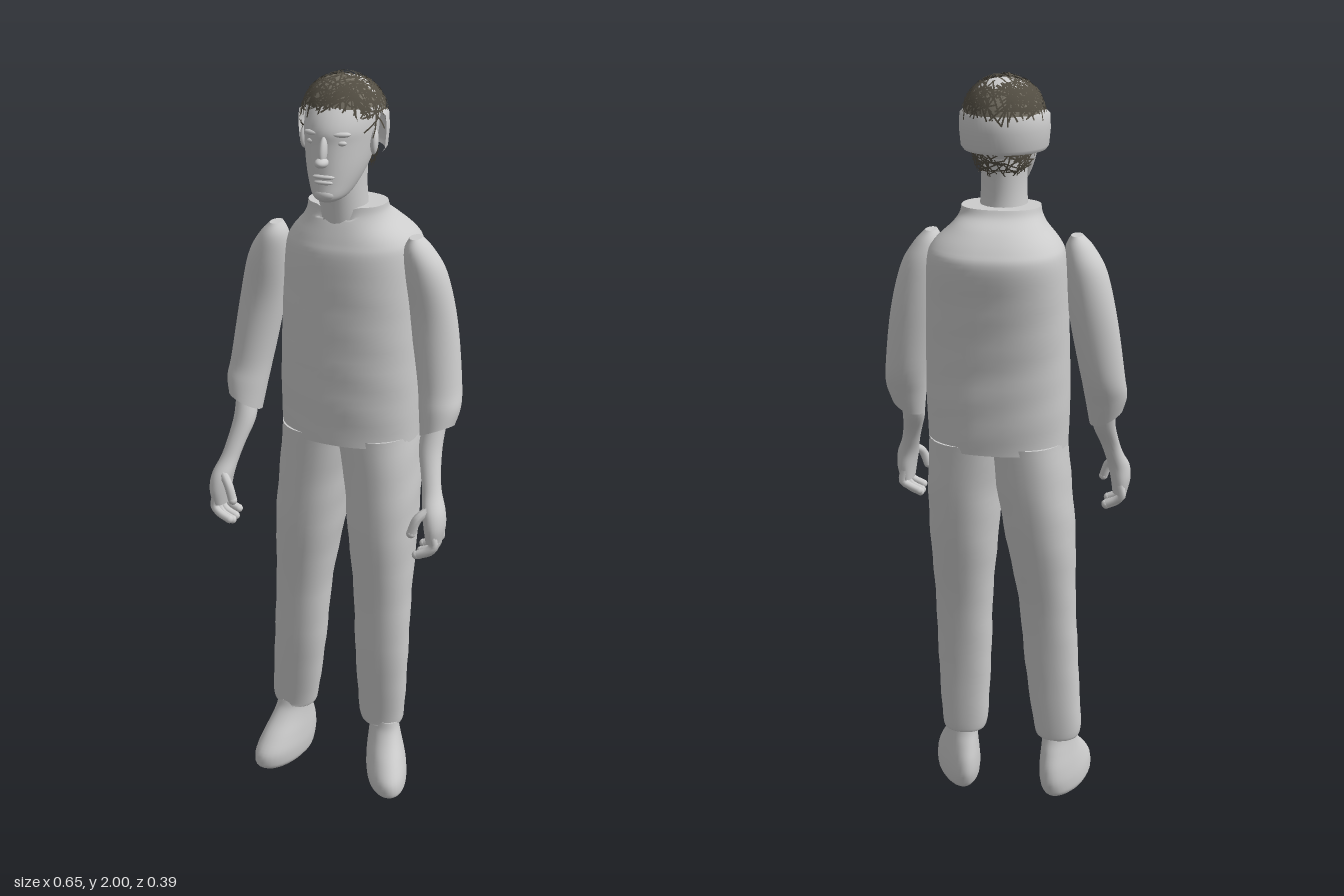
import * as THREE from 'three';

const mat = (name, color) => {
  const m = new THREE.MeshStandardMaterial({ color, side: THREE.DoubleSide });
  m.name = name;
  return m;
};

// Smooth body built from rings; each section is [y, xMin, xMax, zBack, zFront]
function loft(sections, { sides = 32, steps = 5, power = 2, warp = null } = {}) {
  const rows = [];
  const last = sections.length - 1;
  const at = i => sections[Math.max(0, Math.min(last, i))];
  for (let k = 0; k <= last * steps; k++) {
    const i = Math.min(last - 1, Math.floor(k / steps)), t = k / steps - i;
    rows.push(at(i).map((b, c) => {
      const a = at(i - 1)[c], d = at(i + 1)[c], e = at(i + 2)[c];
      return b + 0.5 * t * (d - a + t * (2 * a - 5 * b + 4 * d - e + t * (3 * (b - d) + e - a)));
    }));
  }
  const pos = [], idx = [];
  const bend = v => Math.sign(v) * Math.abs(v) ** (2 / power);
  const addRing = ([y, x0, x1, z0, z1]) => {
    for (let j = 0; j < sides; j++) {
      const a = j / sides * Math.PI * 2;
      const p = new THREE.Vector3((x0 + x1) / 2 + (x1 - x0) / 2 * bend(Math.cos(a)), y,
        (z0 + z1) / 2 + (z1 - z0) / 2 * bend(Math.sin(a)));
      if (warp) warp(p);
      pos.push(p.x, p.y, p.z);
    }
  };
  rows.forEach(addRing);
  for (let i = 0; i < rows.length - 1; i++) for (let j = 0; j < sides; j++) {
    const a = i * sides + j, b = i * sides + (j + 1) % sides;
    idx.push(a, a + sides, b, b, a + sides, b + sides);
  }
  // End caps on separate vertices keep the rims sharp
  [rows[0], rows[rows.length - 1]].forEach((r, top) => {
    const base = pos.length / 3;
    addRing(r);
    const c = new THREE.Vector3((r[1] + r[2]) / 2, r[0], (r[3] + r[4]) / 2);
    if (warp) warp(c);
    pos.push(c.x, c.y, c.z);
    for (let j = 0; j < sides; j++) {
      const n = base + (j + 1) % sides;
      if (top) idx.push(base + sides, n, base + j);
      else idx.push(base + sides, base + j, n);
    }
  });
  return finish(pos, idx);
}

function finish(pos, idx) {
  const g = new THREE.BufferGeometry();
  g.setAttribute('position', new THREE.Float32BufferAttribute(pos, 3));
  g.setIndex(idx);
  g.computeVertexNormals();
  return g;
}

// Loose criss-crossing ribbons lying on an ellipsoid
function strands(count, centre, radii, accept, seed) {
  const rnd = () => (seed = (seed * 16807) % 2147483647) / 2147483647;
  const pos = [], idx = [];
  const dir = () => new THREE.Vector3(rnd() - 0.5, rnd() - 0.5, rnd() - 0.5).normalize();
  for (let n = 0, tries = 0; n < count && tries < 40000; tries++) {
    const d = dir(), mid = d.clone().multiply(radii).add(centre);
    if (!accept(mid, rnd())) continue;
    const along = dir().cross(d).normalize(), across = along.clone().cross(d);
    const length = 0.2 + rnd() * 0.25, lift = 0.98 + rnd() * 0.06, base = pos.length / 3;
    for (let s = -2; s <= 2; s++) for (const w of [-0.02, 0.02]) {
      const p = d.clone().addScaledVector(along, s / 2 * length)
        .addScaledVector(across, w).normalize().multiplyScalar(lift).multiply(radii).add(centre);
      pos.push(p.x, Math.min(p.y, 2), p.z);
    }
    for (let s = 0; s < 4; s++) {
      const a = base + s * 2;
      idx.push(a, a + 1, a + 2, a + 1, a + 3, a + 2);
    }
    n++;
  }
  return finish(pos, idx);
}

export function createModel() {
  const model = new THREE.Group();
  const grey = mat('body grey', 0xcccccc);
  const hair = mat('hair dark', 0x524d42);
  const cap = mat('hair base', 0x746f63);

  const add = (name, geo, m = grey, parent = model) => {
    const mesh = new THREE.Mesh(geo, m);
    mesh.name = name;
    parent.add(mesh);
    return mesh;
  };
  const blob = (name, p, r, parent) => {
    const mesh = add(name, new THREE.SphereGeometry(1, 20, 14), grey, parent);
    mesh.position.set(...p);
    mesh.scale.set(...r);
    return mesh;
  };

  // Sweater with faint folds and a dipped neckline
  add('sweater', loft([
    [1.068, -0.174, 0.19, -0.155, 0.112], [1.18, -0.177, 0.194, -0.16, 0.114],
    [1.3, -0.175, 0.193, -0.163, 0.112], [1.45, -0.17, 0.188, -0.178, 0.108],
    [1.56, -0.164, 0.181, -0.194, 0.104], [1.6, -0.15, 0.166, -0.178, 0.094],
    [1.64, -0.115, 0.124, -0.14, 0.08], [1.665, -0.1, 0.106, -0.1, 0.07],
    [1.685, -0.096, 0.102, -0.086, 0.066],
  ], {
    sides: 48, power: 2.35, warp: p => {
      if (p.y > 1.66 && p.z > 0) p.y -= 0.035 * Math.max(0, 1 - Math.abs(p.x) / 0.05);
      if (p.y < 1.5) p.z += 0.001 * Math.sin(p.y * 60 + p.x * 14);
    },
  }));

  // Trousers
  const depths = [[-0.045, 0.045], [-0.05, 0.046], [-0.056, 0.065], [-0.076, 0.076],
    [-0.116, 0.096], [-0.138, 0.1], [-0.148, 0.103]];
  const heights = [0.17, 0.2, 0.4, 0.6, 0.8, 0.95, 1.085];
  const leg = xs => loft(xs.map((x, i) => [heights[i], ...x, ...depths[i]]), {
    power: 2.25, warp: p => { p.x += 0.001 * Math.sin(p.y * 50 + p.z * 20); },
  });
  add('leftTrouserLeg', leg([[0.06, 0.162], [0.046, 0.174], [0.036, 0.184], [0.03, 0.188],
    [0.012, 0.196], [0, 0.196], [-0.025, 0.188]]));
  add('rightTrouserLeg', leg([[-0.205, -0.105], [-0.222, -0.09], [-0.21, -0.062], [-0.2, -0.044],
    [-0.196, -0.01], [-0.184, 0.012], [-0.172, 0.035]]));

  // Shoes, toes turned out and heels narrower
  for (const [name, ankle, side, turn] of [['leftShoe', 0.118, 1, 0.32], ['rightShoe', -0.158, -1, 0.22]]) {
    add(name, loft([
      [0, -0.053, 0.053, -0.065, 0.136], [0.015, -0.06, 0.06, -0.076, 0.148],
      [0.05, -0.061, 0.061, -0.085, 0.146], [0.09, -0.056, 0.056, -0.08, 0.115],
      [0.13, -0.049, 0.049, -0.064, 0.075], [0.16, -0.045, 0.045, -0.05, 0.052],
      [0.185, -0.044, 0.044, -0.042, 0.044],
    ], {
      power: 2.1, warp: p => {
        p.x = ankle + p.x * (p.z < 0 ? 1 + p.z * 1.8 : 1) + side * (p.z * turn + 0.012 * (1 - p.y / 0.185));
      },
    }));
  }

  // Arms, modelled on the left and mirrored
  for (const side of [1, -1]) {
    const arm = new THREE.Group();
    arm.name = side > 0 ? 'leftArm' : 'rightArm';
    arm.scale.x = side;
    model.add(arm);
    add('sleeve', loft([
      [1.125, 0.222, 0.31, 0.002, 0.09], [1.18, 0.213, 0.32, -0.02, 0.08],
      [1.25, 0.2, 0.314, -0.045, 0.063], [1.4, 0.172, 0.293, -0.06, 0.046],
      [1.52, 0.156, 0.264, -0.058, 0.052], [1.58, 0.156, 0.23, -0.042, 0.048],
      [1.612, 0.17, 0.2, -0.02, 0.03],
    ], {
      warp: p => {
        const k = Math.max(0, 1 - (p.y - 1.125) / 0.1);
        p.y += k * ((p.x - 0.263) * 0.45 + (p.z - 0.046) * 0.25);
      },
    }), grey, arm);
    add('forearm', loft([
      [0.87, 0.278, 0.318, 0.11, 0.184], [0.91, 0.272, 0.326, 0.106, 0.189],
      [0.95, 0.264, 0.322, 0.105, 0.178], [0.99, 0.256, 0.306, 0.095, 0.148],
      [1.03, 0.245, 0.296, 0.078, 0.127], [1.09, 0.228, 0.288, 0.04, 0.1],
      [1.15, 0.232, 0.29, 0.015, 0.075],
    ], { sides: 24 }), grey, arm);
    const finger = (name, pts, r) => {
      const curve = new THREE.CatmullRomCurve3(pts.map(p => new THREE.Vector3(...p)));
      add(name, new THREE.TubeGeometry(curve, 10, r, 8), grey, arm);
      blob(name + 'Tip', pts[pts.length - 1], [r, r, r], arm);
    };
    [0.117, 0.137, 0.157, 0.176].forEach((z, i) => {
      const low = [0.838, 0.826, 0.824, 0.834][i];
      finger('finger', [[0.3, 0.9, z], [0.306, 0.865, z], [0.292, low + 0.015, z + 0.003],
        [0.262, low, z + 0.004]], 0.0112);
    });
    finger('thumb', [[0.284, 0.955, 0.16], [0.262, 0.935, 0.178], [0.248, 0.895, 0.184]], 0.012);
  }

  // Neck and head
  add('neck', loft([
    [1.62, -0.066, 0.066, -0.065, 0.075], [1.69, -0.058, 0.06, -0.052, 0.083],
    [1.75, -0.056, 0.058, -0.052, 0.09], [1.82, -0.06, 0.06, -0.06, 0.09],
  ]));
  add('head', loft([
    [1.716, -0.022, 0.022, 0.09, 0.14], [1.728, -0.042, 0.042, 0.04, 0.152],
    [1.76, -0.06, 0.06, -0.01, 0.15], [1.8, -0.074, 0.074, -0.055, 0.147],
    [1.85, -0.083, 0.083, -0.083, 0.142], [1.88, -0.086, 0.086, -0.09, 0.14],
    [1.91, -0.086, 0.086, -0.09, 0.125], [1.94, -0.081, 0.081, -0.081, 0.1],
    [1.97, -0.058, 0.058, -0.055, 0.071], [1.983, -0.036, 0.036, -0.034, 0.05],
    [1.988, -0.006, 0.006, -0.006, 0.02],
  ]));
  const face = new THREE.Group();
  face.name = 'face';
  model.add(face);
  blob('noseTip', [0, 1.814, 0.156], [0.016, 0.012, 0.022], face);
  blob('noseBridge', [0, 1.84, 0.146], [0.01, 0.034, 0.016], face).rotation.x = -0.3;
  blob('upperLip', [0, 1.778, 0.144], [0.028, 0.006, 0.01], face);
  blob('lowerLip', [0, 1.765, 0.144], [0.024, 0.006, 0.01], face);
  blob('chin', [0, 1.735, 0.138], [0.026, 0.016, 0.016], face);
  for (const s of [1, -1]) {
    blob('eye', [s * 0.035, 1.856, 0.123], [0.015, 0.007, 0.01], face);
    blob('brow', [s * 0.036, 1.876, 0.124], [0.024, 0.007, 0.01], face).rotation.y = s * 0.35;
    blob('ear', [s * 0.088, 1.845, 0.04], [0.01, 0.03, 0.018], face).rotation.set(-0.2, s * 0.3, 0);
  }

  // Smooth band wrapping the back of the head
  const band = add('headBand', new THREE.LatheGeometry([
    [0.102, 1.818], [0.109, 1.828], [0.113, 1.87], [0.111, 1.905], [0.1, 1.915],
  ].map(p => new THREE.Vector2(...p)), 32, Math.PI / 2, Math.PI));
  band.position.z = 0.025;
  band.scale.z = 1.1;

  // Hair base: the whole front of the crown, and a ring round the back of it
  for (const [name, phi, theta, sweep, z, depth] of [
    ['frontHairBase', 0, 0, 1.19, 0.022, 0.092], ['backHairBase', Math.PI, 0.72, 0.66, 0.008, 0.106]]) {
    const base = add(name, new THREE.SphereGeometry(1, 24, 10, phi, Math.PI, theta, sweep), cap);
    base.position.set(0, 1.89, z);
    base.scale.set(0.1, 0.104, depth);
  }

  // Loose strands over the crown, temples and nape
  add('crownHair', strands(420, new THREE.Vector3(0, 1.89, 0.01), new THREE.Vector3(0.104, 0.106, 0.108),
    (p, r) => {
      if (p.y < (p.z > 0.065 ? 1.935 : p.z > 0.025 ? 1.885 : 1.92)) return false;
      return p.y < 1.97 || p.z > 0.03 || r < 0.3;
    }, 71), hair);
  add('napeHair', strands(90, new THREE.Vector3(0, 1.82, 0.008), new THREE.Vector3(0.078, 0.09, 0.085),
    p => p.z < -0.01 && p.y > 1.775 && p.y < 1.83, 13), hair);

  return model;
}
